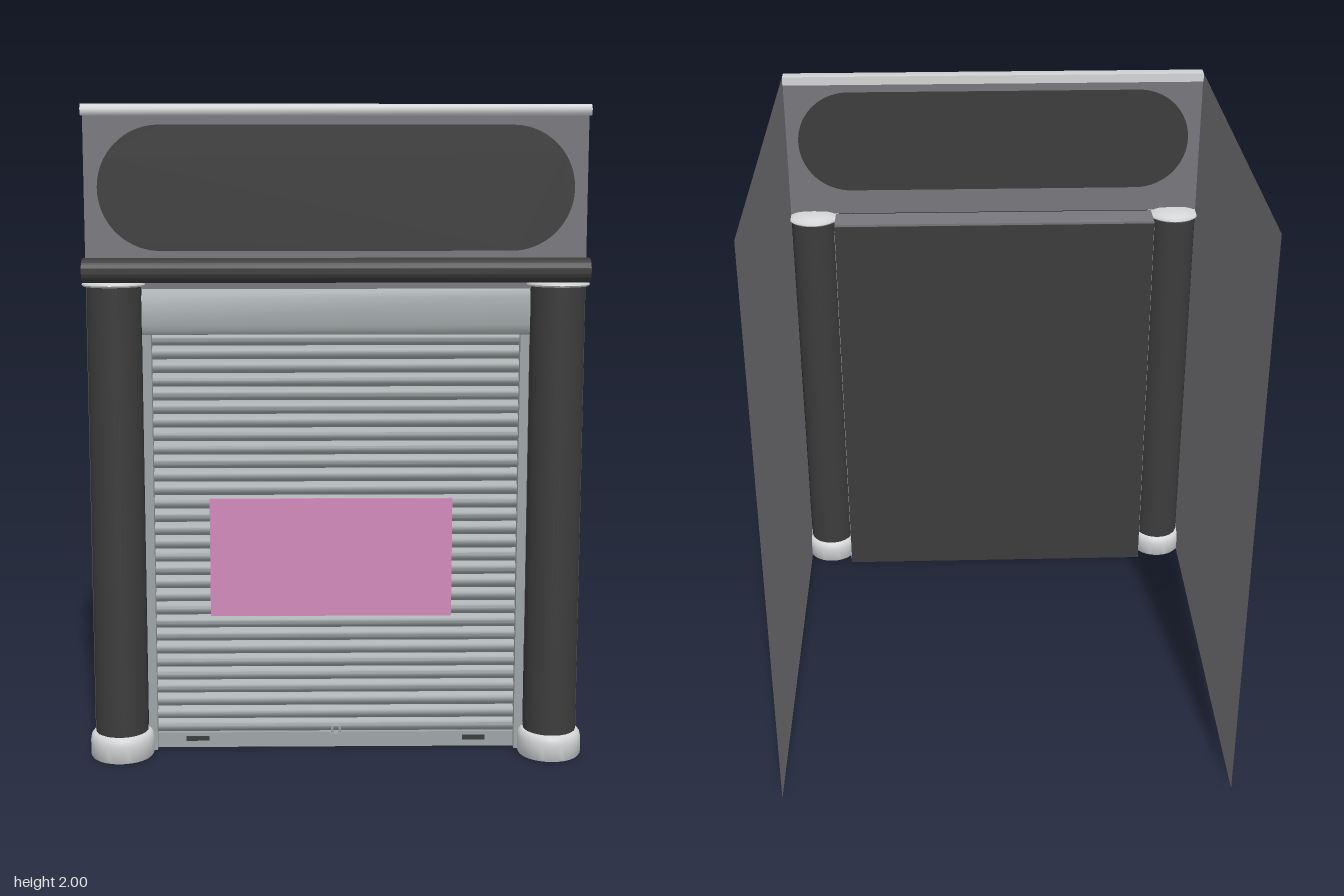
import * as THREE from 'three';
import { toCreasedNormals } from 'three/addons/utils/BufferGeometryUtils.js';

const material = (name, color) => {
  const m = new THREE.MeshStandardMaterial({ color });
  m.name = name;
  return m;
};

export function createModel() {
  const wallGrey = material('wall grey', 0x77777c);
  wallGrey.side = THREE.DoubleSide;
  const charcoal = material('charcoal', 0x3c3c3c);
  const paleGrey = material('pale grey', 0xd2d4d6);
  const shutterGrey = material('shutter grey', 0x9ea5a6);
  const pink = material('pink', 0xd28abc);

  const root = new THREE.Group();
  root.name = 'shutteredKiosk';

  const add = (name, geometry, mat, x = 0, y = 0, z = 0, parent = root) => {
    const mesh = new THREE.Mesh(geometry, mat);
    mesh.name = name;
    mesh.position.set(x, y, z);
    parent.add(mesh);
    return mesh;
  };
  // box given by its limits
  const addBox = (name, mat, x0, x1, y0, y1, z0, z1, parent = root) =>
    add(name, new THREE.BoxGeometry(x1 - x0, y1 - y0, z1 - z0), mat,
      (x0 + x1) / 2, (y0 + y1) / 2, (z0 + z1) / 2, parent);
  // side profile of [z, y] points, drawn out along x
  const alongX = (points, width) => {
    const shape = new THREE.Shape(points.map(([z, y]) => new THREE.Vector2(z, y)));
    const g = new THREE.ExtrudeGeometry(shape, { depth: width, bevelEnabled: false });
    g.translate(0, 0, -width / 2).rotateY(-Math.PI / 2);
    return toCreasedNormals(g, 0.7);
  };
  const lathe = (points) => toCreasedNormals(
    new THREE.LatheGeometry(points.map(([r, y]) => new THREE.Vector2(r, y)), 40), 0.7);
  // outline with half-round ends, lying along x
  const stadium = (width, height) => {
    const r = height / 2, c = width / 2 - r;
    const s = new THREE.Shape();
    s.moveTo(-c, -r);
    s.lineTo(c, -r);
    s.absarc(c, 0, r, -Math.PI / 2, Math.PI / 2, false);
    s.lineTo(-c, r);
    s.absarc(-c, 0, r, Math.PI / 2, Math.PI * 1.5, false);
    return s;
  };

  // side walls and the fascia above the opening
  for (const side of [-1, 1]) {
    add(side > 0 ? 'leftWall' : 'rightWall',
      new THREE.PlaneGeometry(1.5, 2).rotateY(side * Math.PI / 2), wallGrey, side * 0.75, 1, -0.05);
  }
  add('fascia', new THREE.PlaneGeometry(1.5, 0.52), wallGrey, 0, 1.74, 0.7);

  // oval sign board
  add('signBoard', toCreasedNormals(new THREE.ExtrudeGeometry(stadium(1.415, 0.37),
    { depth: 0.027, bevelEnabled: false, curveSegments: 24 }), 0.7), charcoal, 0, 1.755, 0.699);

  // rounded trim along the top edge
  add('topTrim', alongX([[0.69, 1.97], [0.743, 1.966], [0.75, 1.973], [0.752, 1.985],
    [0.747, 1.996], [0.738, 2], [0.69, 2]], 1.5), paleGrey);

  // awning roll
  const roll = new THREE.ExtrudeGeometry(stadium(0.1, 0.072),
    { depth: 1.5, bevelEnabled: false, curveSegments: 16 });
  roll.translate(0, 0, -0.75).rotateY(-Math.PI / 2);
  add('awningRoll', toCreasedNormals(roll, 0.7), charcoal, 0, 1.514, 0.75);

  // columns with bases and caps
  const shaft = new THREE.CylinderGeometry(0.081, 0.081, 1.42, 40);
  const base = lathe([[0, 0], [0.094, 0], [0.098, 0.006], [0.098, 0.055],
    [0.095, 0.069], [0.088, 0.078], [0.078, 0.081], [0, 0.081]]);
  const cap = lathe([[0, 0], [0.09, 0], [0.095, 0.005], [0.093, 0.01],
    [0.078, 0.012], [0.07, 0.019], [0.05, 0.024], [0, 0.026]]);
  for (const side of [-1, 1]) {
    const column = new THREE.Group();
    column.name = side > 0 ? 'leftColumn' : 'rightColumn';
    column.position.set(side * 0.667, 0, 0.698);
    root.add(column);
    add('columnShaft', shaft, charcoal, 0, 0.755, 0, column);
    add('columnBase', base, paleGrey, 0, 0, 0, column);
    add('columnCap', cap, paleGrey, 0, 1.464, 0, column);
  }

  // roller shutter with bulging slats
  const shutter = new THREE.Group();
  shutter.name = 'shutter';
  root.add(shutter);
  const slats = 30, bottom = 0.05, pitch = (1.32 - bottom) / slats;
  const slatProfile = [[0.625, bottom]];
  for (let i = 0; i < slats; i++) {
    for (let k = 0; k < 6; k++) {
      slatProfile.push([0.638 + 0.014 * Math.sin(Math.PI * k / 6), bottom + (i + k / 6) * pitch]);
    }
  }
  slatProfile.push([0.638, 1.32], [0.625, 1.32]);
  add('slats', alongX(slatProfile, 1.13), shutterGrey, 0, 0, 0, shutter);
  addBox('bottomBar', shutterGrey, -0.56, 0.56, 0.002, 0.05, 0.595, 0.652, shutter);
  for (const side of [-1, 1]) {
    const rail = addBox('guideRail', shutterGrey, -0.0135, 0.0135, 0.002, 1.45, 0.595, 0.675, shutter);
    rail.position.x = side * 0.5735;
    const slot = addBox('handSlot', charcoal, -0.036, 0.036, 0.024, 0.038, 0.648, 0.656, shutter);
    slot.position.x = side * 0.435;
  }

  // shutter housing, with a slanted upper edge and a rolled lower lip
  add('shutterHousing', alongX([[0.6, 1.325], [0.672, 1.314], [0.69, 1.316], [0.698, 1.328],
    [0.7, 1.345], [0.7, 1.43], [0.685, 1.455], [0.6, 1.455]], 1.17), shutterGrey, 0, 0, 0, shutter);

  // back board and lid of the recess
  addBox('backBoard', charcoal, -0.585, 0.585, 0.002, 1.47, 0.588, 0.597);
  addBox('recessLid', wallGrey, -0.585, 0.585, 1.455, 1.478, 0.59, 0.7);

  // lock at the foot of the shutter
  addBox('lockBody', shutterGrey, -0.018, 0.018, 0.012, 0.05, 0.65, 0.668, shutter);
  add('lockShackle', new THREE.TorusGeometry(0.012, 0.004, 8, 20, Math.PI), shutterGrey,
    0, 0.062, 0.66, shutter);
  for (const side of [-1, 1]) {
    add('shackleLeg', new THREE.CylinderGeometry(0.004, 0.004, 0.014, 8), shutterGrey,
      side * 0.012, 0.055, 0.66, shutter);
  }

  // poster
  addBox('poster', pink, -0.39, 0.36, 0.43, 0.803, 0.648, 0.657);

  return root;
}
